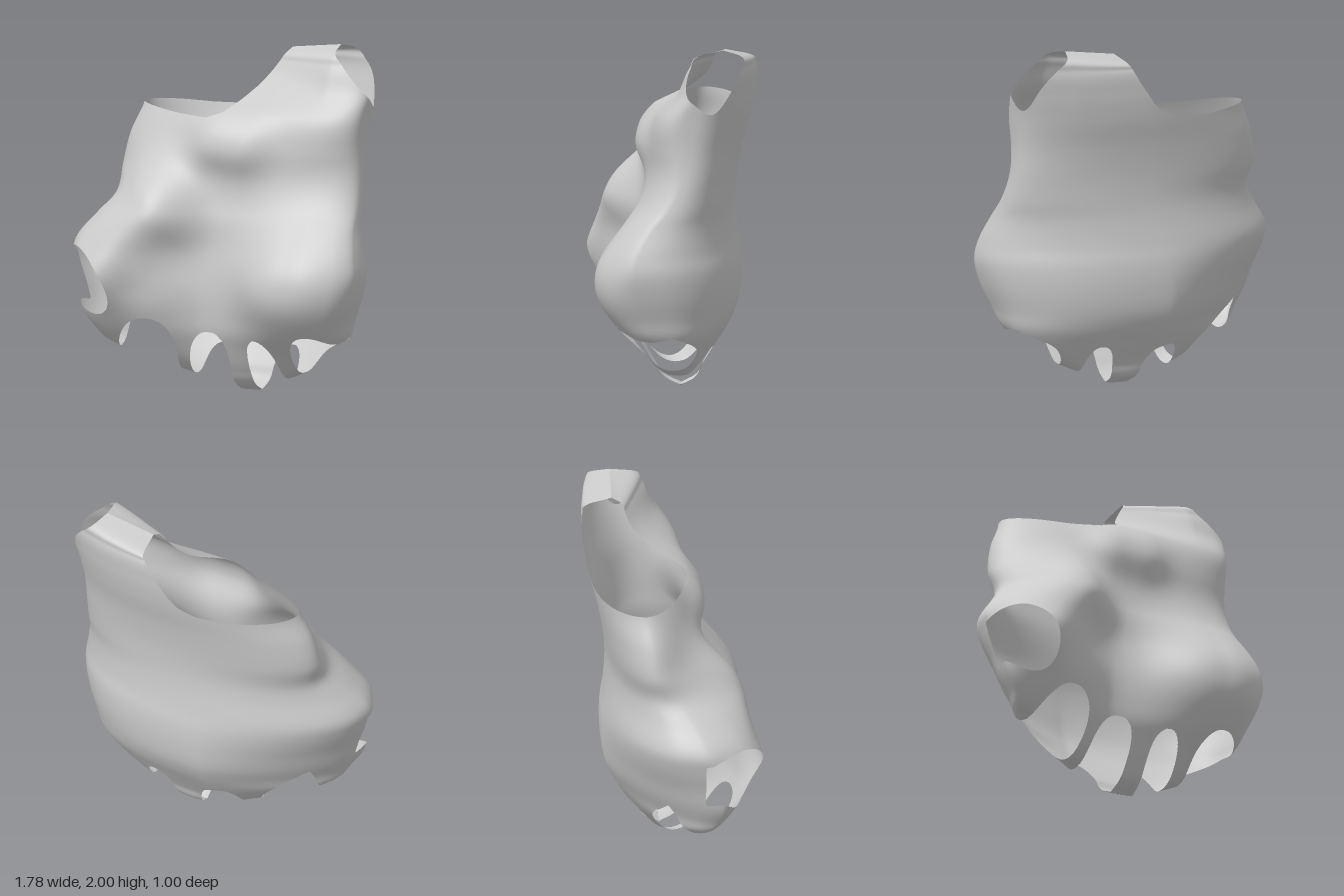
import * as THREE from 'three';
import { mergeVertices } from 'three/addons/utils/BufferGeometryUtils.js';

// Cross-sections: height, right edge, left edge, side z, front z, back z
const ROWS = [
  [0.00, 0.05, 0.16, -0.06, -0.06, -0.06],
  [0.04, -0.07, 0.25, -0.06, 0.02, -0.14],
  [0.13, -0.36, 0.47, -0.04, 0.09, -0.19],
  [0.27, -0.68, 0.68, 0.00, 0.16, -0.28],
  [0.35, -0.74, 0.76, 0.04, 0.19, -0.33],
  [0.45, -0.80, 0.80, 0.08, 0.20, -0.375],
  [0.60, -0.84, 0.86, 0.12, 0.20, -0.40],
  [0.74, -0.88, 0.89, 0.14, 0.19, -0.40],
  [0.84, -0.89, 0.875, 0.13, 0.18, -0.385],
  [1.00, -0.78, 0.83, 0.05, 0.17, -0.37],
  [1.10, -0.71, 0.81, -0.03, 0.15, -0.37],
  [1.25, -0.72, 0.79, -0.10, 0.13, -0.385],
  [1.43, -0.69, 0.785, -0.13, 0.12, -0.42],
  [1.60, -0.62, 0.80, -0.16, 0.07, -0.465],
  [1.75, -0.60, 0.82, -0.21, -0.05, -0.49],
  [1.90, -0.58, 0.83, -0.27, -0.12, -0.49],
  [1.97, -0.55, 0.80, -0.31, -0.18, -0.45],
  [2.00, -0.50, 0.72, -0.32, -0.32, -0.32],
];

// Swellings of the front along a line: x, y, line dx, line dy, radius, height
const BUMPS = [
  [-0.68, 0.78, 0.3, 0.28, 0.25, 0.26],
  [-0.5, 0.6, 0.1, 0, 0.24, 0.11],
  [0.5, 0.66, 0.08, 0, 0.33, 0.23],
  [-0.02, 1.46, 0.15, -0.02, 0.17, 0.08],
];

// Neckline seen from the front: everything above it is open
const NECK = [[-1, 1.62], [-0.61, 1.61], [-0.3, 1.585], [-0.1, 1.585], [0, 1.62], [0.06, 1.68], [0.15, 1.8], [0.25, 1.965], [0.32, 2.1], [1, 3]];

// Openings between the bottom straps: centre x, half width, lean, centre angle
const BOTTOM = [[-0.445, 0.185, 0.06, 0.55], [-0.075, 0.13, 0.04, 0.25], [0.275, 0.095, 0, 0.2], [0.61, 0.145, 0, 0.38]];

const smooth = THREE.MathUtils.smoothstep;
const clamp = THREE.MathUtils.clamp;
const signedPow = (v, p) => Math.sign(v) * Math.abs(v) ** p;

function neckHeight(x) {
  const i = Math.max(1, NECK.findIndex((p) => p[0] >= x));
  const [a, b] = [NECK[i - 1], NECK[i]];
  return a[1] + (b[1] - a[1]) * (x - a[0]) / (b[0] - a[0]);
}

function swelling(x, y) {
  let sum = 0;
  for (const [bx, by, dx, dy, r, h] of BUMPS) {
    const t = clamp(((x - bx) * dx + (y - by) * dy) / (dx * dx + dy * dy), 0, 1);
    const d = Math.hypot(x - bx - t * dx, y - by - t * dy);
    sum += h * Math.exp(-((d / r) ** 2.3));
  }
  return sum;
}

// Cut functions: negative inside an opening
const cuts = [
  // neck
  (p) => neckHeight(p.x) - p.y,
  // armhole: a slanting cut that dips below the arm
  (p) => 2 + (0.55 - p.x) * 0.9 - 0.13 * smooth(p.x, 0.62, 0.8) * Math.exp(-(((p.z + 0.28) / 0.11) ** 2)) - p.y,
  // side opening
  (p) => {
    const dy = p.y - 0.635;
    return Math.max(Math.hypot((p.x + 0.735 + 0.3 * dy) / 0.165, dy / 0.195) - 1, (0.17 - p.z) * 5);
  },
  // openings along the bottom, measured by the angle around it
  ...BOTTOM.map(([cx, half, slope, mid]) => (p) => {
    const ang = Math.atan2(p.z + 0.05, 0.45 - p.y) - mid;
    return (Math.abs((p.x - cx - slope * ang) / half) ** 2.4 + Math.abs(ang / 0.97) ** 2.4) - 1;
  }),
];

// Keep the part of a polygon where the cut function is positive
function clip(poly, f) {
  const d = poly.map(f);
  if (d.every((v) => v >= 0)) return poly;
  const out = [];
  poly.forEach((p, i) => {
    const j = (i + 1) % poly.length;
    if (d[i] >= 0) out.push(p);
    if ((d[i] >= 0) !== (d[j] >= 0)) out.push(p.clone().lerp(poly[j], d[i] / (d[i] - d[j])));
  });
  return out;
}

function garmentGeometry() {
  const around = 176, rows = 120;
  const sections = new THREE.CubicInterpolant(ROWS.map((r) => r[0]), ROWS.flatMap((r) => r.slice(1)), 5, new Float32Array(5));

  // Closed sack from smooth cross-sections
  const grid = [];
  for (let j = 0; j <= rows; j++) {
    const y = 1 - Math.cos((Math.PI * j) / rows);
    const [xR, xL, zSide, zFront, zBack] = sections.evaluate(y);
    const ring = [];
    for (let i = 0; i < around; i++) {
      const t = (i / around) * Math.PI * 2;
      // the right side is more pointed, the left front squarer towards the arm
      let roundness = Math.cos(t) < 0 ? 1.9 : 2.3;
      if (Math.cos(t) > 0 && Math.sin(t) > 0) roundness += 1.5 * smooth(y, 1.3, 1.75);
      const x = (xL + xR) / 2 + ((xL - xR) / 2) * signedPow(Math.cos(t), 2 / roundness);
      const s = signedPow(Math.sin(t), 2 / roundness);
      let z = zSide + (s > 0 ? zFront - zSide : zSide - zBack) * s;
      // the lower right side swings forward
      z -= 0.3 * Math.min(0, x + 0.1) * (1 - smooth(y, 0.3, 0.85));
      z += smooth(s, -0.3, 0.5) * swelling(x, y);
      // the shoulder narrows towards the neck and slopes down to it
      const toNeck = Math.max(0, 0.58 - x);
      z += (zBack - z) * Math.min(0.6, 0.9 * toNeck) * smooth(y, 1.6, 1.9);
      ring.push(new THREE.Vector3(x, y - 0.12 * toNeck * smooth(y, 1.85, 2), z));
    }
    grid.push(ring);
  }

  // Cut the openings out of every triangle
  const positions = [];
  const addTriangle = (...tri) => {
    let poly = tri;
    for (const f of cuts) {
      poly = clip(poly, f);
      if (poly.length < 3) return;
    }
    for (let k = 1; k < poly.length - 1; k++) {
      for (const p of [poly[0], poly[k], poly[k + 1]]) positions.push(p.x, p.y, p.z);
    }
  };
  for (let j = 0; j < rows; j++) {
    for (let i = 0; i < around; i++) {
      const n = (i + 1) % around;
      const [a, b, c, d] = [grid[j][i], grid[j + 1][i], grid[j + 1][n], grid[j][n]];
      addTriangle(a, b, d);
      addTriangle(b, c, d);
    }
  }
  let geometry = new THREE.BufferGeometry();
  geometry.setAttribute('position', new THREE.Float32BufferAttribute(positions, 3));
  geometry = mergeVertices(geometry, 1e-4);
  geometry.computeVertexNormals();
  return geometry;
}

export function createModel() {
  const group = new THREE.Group();
  group.name = 'oneShoulderGarment';
  const cloth = new THREE.MeshStandardMaterial({ color: 0xcccccc, side: THREE.DoubleSide });
  const garment = new THREE.Mesh(garmentGeometry(), cloth);
  garment.name = 'garmentShell';
  group.add(garment);
  return group;
}
